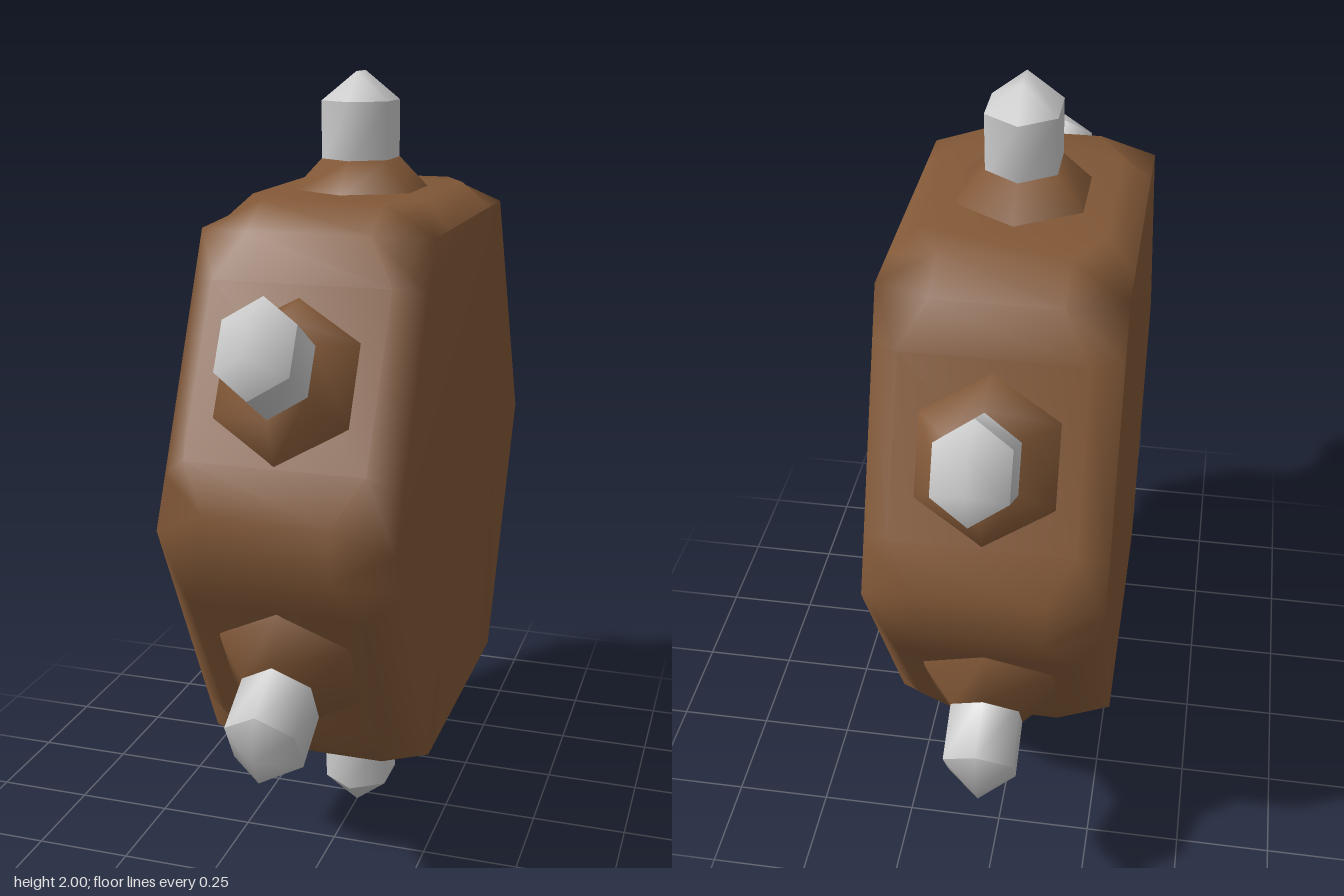
import * as THREE from 'three';
import { mergeVertices } from 'three/addons/utils/BufferGeometryUtils.js';

const DEPTH = 0.945; // the wheel is slightly narrower front to back

const brown = new THREE.MeshStandardMaterial({ color: 0x825837 });
const grey = new THREE.MeshStandardMaterial({ color: 0xcccccc });

// Joins rings of equal point count into one smooth skin, optionally closing the ends
function loft(rings, closeStart, closeEnd) {
  const n = rings[0].length, index = [];
  for (let i = 0; i < rings.length - 1; i++) {
    for (let j = 0; j < n; j++) {
      const a = i * n + j, b = i * n + (j + 1) % n;
      index.push(a, b, b + n, a, b + n, a + n);
    }
  }
  const last = (rings.length - 1) * n;
  for (let j = 1; j < n - 1; j++) {
    if (closeStart) index.push(0, j + 1, j);
    if (closeEnd) index.push(last, last + j, last + j + 1);
  }
  const geo = new THREE.BufferGeometry();
  geo.setAttribute('position', new THREE.Float32BufferAttribute(rings.flat(2), 3));
  geo.setIndex(index);
  const welded = mergeVertices(geo, 1e-4);
  welded.computeVertexNormals();
  return welded;
}

// Hexagonal ring around the y axis, pointed towards +z and -z
function hexRing(y, rx, rz) {
  return Array.from({ length: 6 }, (_, i) => {
    const a = i * Math.PI / 3;
    return [rx * Math.sin(a), y, rz * Math.cos(a)];
  });
}

// Six-sided drum lying along x, with trimmed corners and bevelled rims
function drumGeometry() {
  // each side as [z, y] start and end, going round from the top towards +z
  const sides = [
    [[-0.31, 0.715], [0.31, 0.715]],
    [[0.41, 0.655], [0.725, 0.065]],
    [[0.725, -0.065], [0.41, -0.655]],
  ];
  const corners = [[-0.355, 0.65], [0.355, 0.65], [0.675, 0]];
  const flip = p => [-p[0], -p[1]];
  const allSides = [...sides, ...sides.map(s => s.map(flip))];
  const allCorners = [...corners, ...corners.map(flip)];
  const steps = [0, 0.18, 0.82, 1];
  const mix = (a, b, t) => [a[0] + (b[0] - a[0]) * t, a[1] + (b[1] - a[1]) * t];

  const rim = s => allCorners.flatMap((c, i) => steps.map(t => {
    const [z, y] = mix(c, allCorners[(i + 1) % 6], t);
    return [s * 0.285, 1 + y, z];
  }));
  const belt = s => allSides.flatMap(([a, b]) => steps.map((t, k) => {
    const [z, y] = mix(a, b, t);
    return [s * (k === 1 || k === 2 ? 0.215 : 0.15), 1 + y, z];
  }));
  return loft([rim(-1), belt(-1), belt(1), rim(1)], true, true);
}

export function createModel() {
  const model = new THREE.Group();
  model.name = 'spikedWheel';

  const drum = new THREE.Mesh(drumGeometry(), brown);
  drum.name = 'drum';
  model.add(drum);

  // Tip closes to a short ridge
  const shoulder = hexRing(0.93, 0.098, 0.117);
  const ridge = shoulder.map(p => [0, 1, Math.sign(p[2]) * 0.042]);
  const parts = {
    base: [loft([hexRing(0.65, 0.2, 0.23), hexRing(0.705, 0.183, 0.195), hexRing(0.79, 0.098, 0.12)], false, true), brown],
    shaft: [loft([hexRing(0.77, 0.098, 0.117), shoulder], false, false), grey],
    tip: [loft([shoulder, ridge], false, false), grey],
  };

  // Six spikes, one on each side of the drum
  for (let i = 0; i < 6; i++) {
    const spike = new THREE.Group();
    spike.name = 'spike' + (i + 1);
    for (const [name, [geo, material]] of Object.entries(parts)) {
      const placed = geo.clone().rotateX(i * Math.PI / 3).scale(1, 1, DEPTH).translate(0, 1, 0);
      const mesh = new THREE.Mesh(placed, material);
      mesh.name = name;
      spike.add(mesh);
    }
    model.add(spike);
  }
  return model;
}
